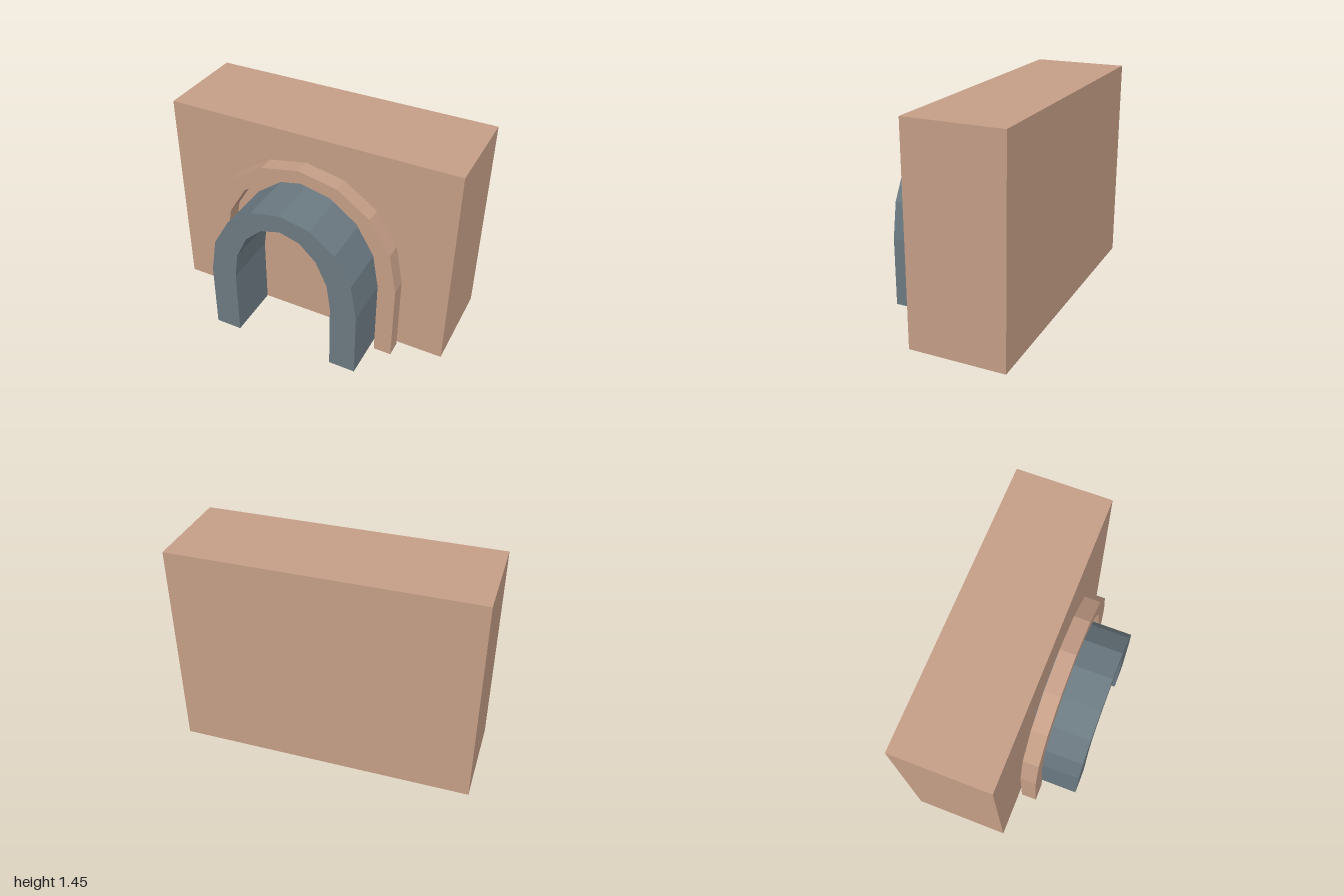
import * as THREE from 'three';

const tan = new THREE.MeshStandardMaterial({ color: 0xc49d86 });
tan.name = 'tan stone';
const slate = new THREE.MeshStandardMaterial({ color: 0x6b7981 });
slate.name = 'slate grey';

// Arch band from right-hand half profiles (foot to crown), mirrored to the other side
function makeArch(name, outer, inner, zBack, zFront, material) {
  const mirror = (half) => half.slice(0, -1).reverse().map(([x, y]) => [-x, y]);
  const fullOuter = [...outer, ...mirror(outer)];
  const fullInner = [...inner, ...mirror(inner)].reverse();
  const shape = new THREE.Shape(
    [...fullOuter, ...fullInner].map(([x, y]) => new THREE.Vector2(x, y))
  );
  const geometry = new THREE.ExtrudeGeometry(shape, { depth: zFront - zBack, bevelEnabled: false });
  geometry.translate(0, 0, zBack);
  const mesh = new THREE.Mesh(geometry, material);
  mesh.name = name;
  return mesh;
}

export function createModel() {
  const group = new THREE.Group();
  group.name = 'archedWall';

  // Solid wall block, a hair above the arch feet
  const base = 0.002;
  const wall = new THREE.Mesh(new THREE.BoxGeometry(2, 1.452 - base, 0.65), tan);
  wall.name = 'wall';
  wall.position.set(0, (1.452 + base) / 2, -0.192);
  group.add(wall);

  // Deep portal arch running into the wall
  group.add(makeArch('portalArch',
    [[0.532, 0], [0.532, 0.48], [0.49, 0.727], [0.376, 0.927], [0.204, 1.056], [0, 1.1]],
    [[0.35, 0], [0.35, 0.49], [0.325, 0.672], [0.247, 0.836], [0.135, 0.941], [0, 0.978]],
    -0.16, 0.517, slate));

  // Shallow surround standing just off the wall
  group.add(makeArch('archSurround',
    [[0.687, 0], [0.687, 0.562], [0.634, 0.839], [0.487, 1.07], [0.263, 1.224], [0, 1.277]],
    [[0.565, 0], [0.565, 0.562], [0.523, 0.805], [0.4, 1.01], [0.216, 1.145], [0, 1.192]],
    0.155, 0.264, tan));

  return group;
}
